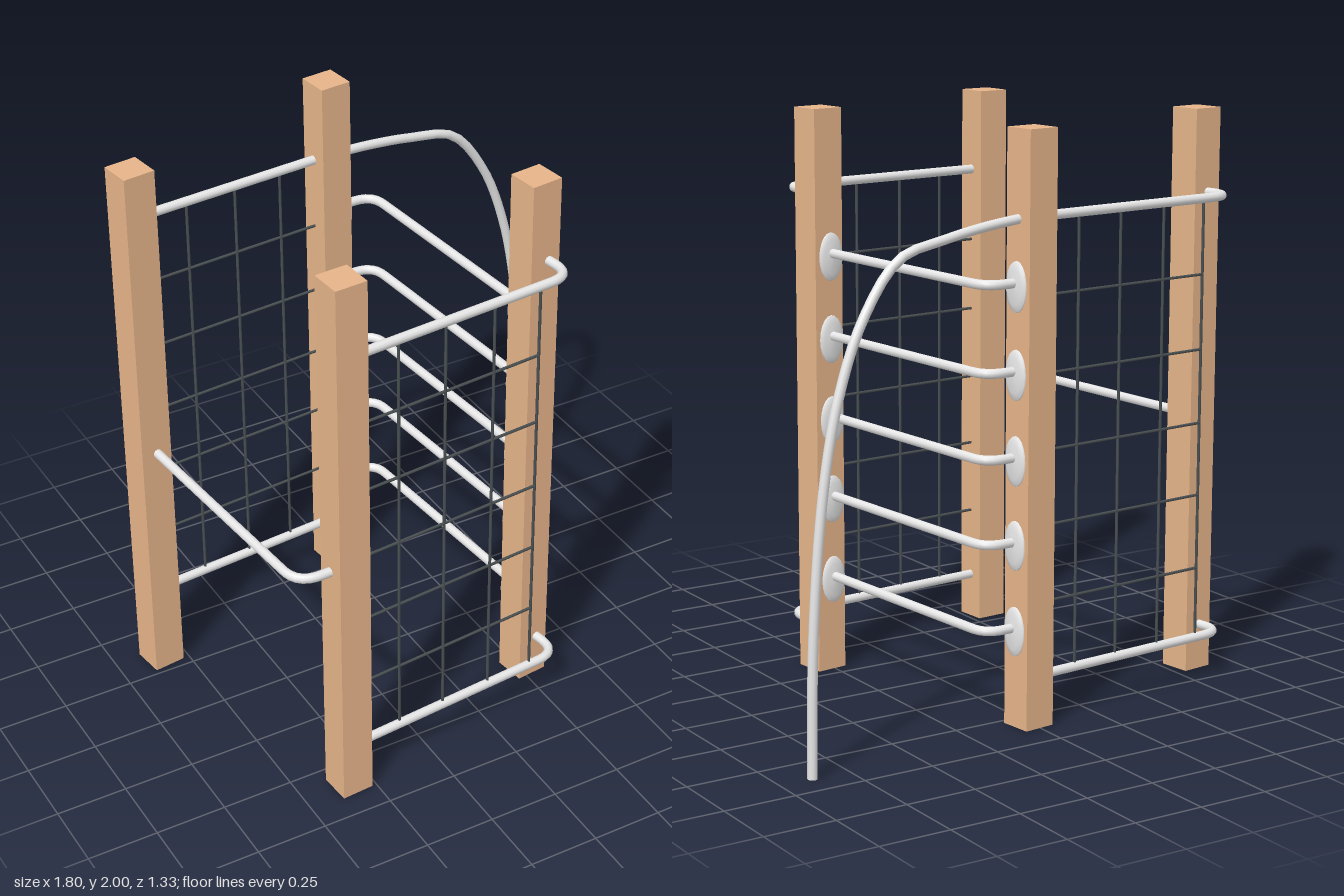
import * as THREE from 'three';

const wood = new THREE.MeshStandardMaterial({ name: 'wood', color: 0xe7b58a });
const steel = new THREE.MeshStandardMaterial({ name: 'steel', color: 0xf0f0f0 });
const rope = new THREE.MeshStandardMaterial({ name: 'rope', color: 0x4a5052 });

const V = (x, y, z) => new THREE.Vector3(x, y, z);
const RAIL_R = 0.0165, ROPE_R = 0.005;
// centre about which the two net panels mirror each other by a half turn
const CX = -0.279, CZ = 0.014;

function add(parent, name, geometry, material) {
  const mesh = new THREE.Mesh(geometry, material);
  mesh.name = name;
  parent.add(mesh);
  return mesh;
}

// straight tube from a, rounded around the corner, ending at b
function bentTube(a, corner, b, bend) {
  const p = corner.clone().lerp(a, bend / corner.distanceTo(a));
  const q = corner.clone().lerp(b, Math.min(0.8, bend / corner.distanceTo(b)));
  const path = new THREE.CurvePath();
  path.add(new THREE.LineCurve3(a, p));
  path.add(new THREE.QuadraticBezierCurve3(p, corner, q));
  path.add(new THREE.LineCurve3(q, b));
  return new THREE.TubeGeometry(path, 48, RAIL_R, 10, false);
}

// thin straight rope between two points
function ropeBetween(parent, name, a, b) {
  const mesh = add(parent, name, new THREE.CylinderGeometry(ROPE_R, ROPE_R, a.distanceTo(b), 6), rope);
  mesh.position.copy(a).lerp(b, 0.5);
  mesh.quaternion.setFromUnitVectors(V(0, 1, 0), b.clone().sub(a).normalize());
}

// oval mounting plate with a shallow dome, facing along dir
function flange(parent, pos, dir) {
  const profile = [[0.085, 0], [0.083, 0.006], [0.06, 0.012], [0.02, 0.016], [0, 0.017]]
    .map(([r, h]) => new THREE.Vector2(r, h));
  const g = new THREE.LatheGeometry(profile, 20);
  g.rotateX(Math.PI / 2);
  g.scale(0.57, 1, 1);
  const mesh = add(parent, 'flange', g, steel);
  mesh.position.copy(pos);
  mesh.rotation.y = Math.atan2(dir.x, dir.z);
}

// two rails with a rope net between them
function netPanel() {
  const inner = new THREE.Group();
  const zAt = (x) => 0.598 - (x + 0.52) * 0.088;
  for (const y of [0.163, 1.71]) {
    add(inner, 'netRail', bentTube(V(-0.56, y, zAt(-0.56)), V(0.306, y, zAt(0.306)), V(0.285, y, 0.39), 0.085), steel);
  }
  for (const x of [-0.37, -0.19, 0, 0.18]) {
    ropeBetween(inner, 'netUpright', V(x, 0.163, zAt(x)), V(x, 1.71, zAt(x)));
  }
  for (const y of [0.415, 0.677, 0.932, 1.19, 1.45]) {
    ropeBetween(inner, 'netCross', V(-0.54, y, zAt(-0.54)), V(0.18, y, zAt(0.18)));
  }
  inner.position.set(-CX, 0, -CZ);
  const panel = new THREE.Group();
  panel.add(inner);
  panel.position.set(CX, 0, CZ);
  return panel;
}

export function createModel() {
  const model = new THREE.Group();
  model.name = 'climbingFrame';

  // four square posts, each slightly turned
  const posts = [
    ['backRightPost', 0.009, -0.573, 0.11],
    ['backLeftPost', -0.837, -0.333, 0.13],
    ['frontLeftPost', -0.577, 0.602, 0.07],
    ['frontRightPost', 0.268, 0.357, 0.12],
  ];
  for (const [name, x, z, turn] of posts) {
    const post = add(model, name, new THREE.BoxGeometry(0.115, 2, 0.115), wood);
    post.position.set(x, 1, z);
    post.rotation.y = turn;
  }

  // front and back rope nets
  const frontNet = netPanel();
  frontNet.name = 'frontNet';
  const backNet = netPanel();
  backNet.name = 'backNet';
  backNet.rotation.y = Math.PI;
  model.add(frontNet, backNet);

  // ladder of bent rungs with mounting plates
  const ladder = new THREE.Group();
  ladder.name = 'ladder';
  for (const y of [0.345, 0.638, 0.923, 1.21, 1.5]) {
    add(ladder, 'rung', bentTube(V(0.258, y, 0.32), V(0.186, y, -0.578), V(0.05, y, -0.573), 0.07), steel);
    flange(ladder, V(0.256, y - 0.013, 0.297), V(-0.12, 0, -1));
    flange(ladder, V(0.068, y - 0.013, -0.575), V(1, 0, -0.11));
  }
  model.add(ladder);

  // single rail on the open side
  add(model, 'sideRail',
    bentTube(V(-0.828, 0.923, -0.3), V(-0.754, 0.923, 0.608), V(-0.6, 0.923, 0.602), 0.085), steel);

  // arched sliding pole
  const arch = new THREE.CatmullRomCurve3([
    V(0.04, 1.71, -0.575), V(0.2, 1.695, -0.593), V(0.37, 1.668, -0.612), V(0.545, 1.622, -0.628),
    V(0.68, 1.45, -0.637), V(0.77, 1.22, -0.641), V(0.832, 0.92, -0.645),
    V(0.874, 0.46, -0.648), V(0.884, 0, -0.65),
  ]);
  const pole = new THREE.Group();
  pole.name = 'slidingPole';
  add(pole, 'poleTube', new THREE.TubeGeometry(arch, 40, RAIL_R, 10, false), steel);
  const foot = add(pole, 'poleFoot', new THREE.CircleGeometry(RAIL_R, 10), steel);
  foot.rotation.x = Math.PI / 2;
  foot.position.set(0.884, 0.001, -0.65);
  model.add(pole);

  return model;
}
